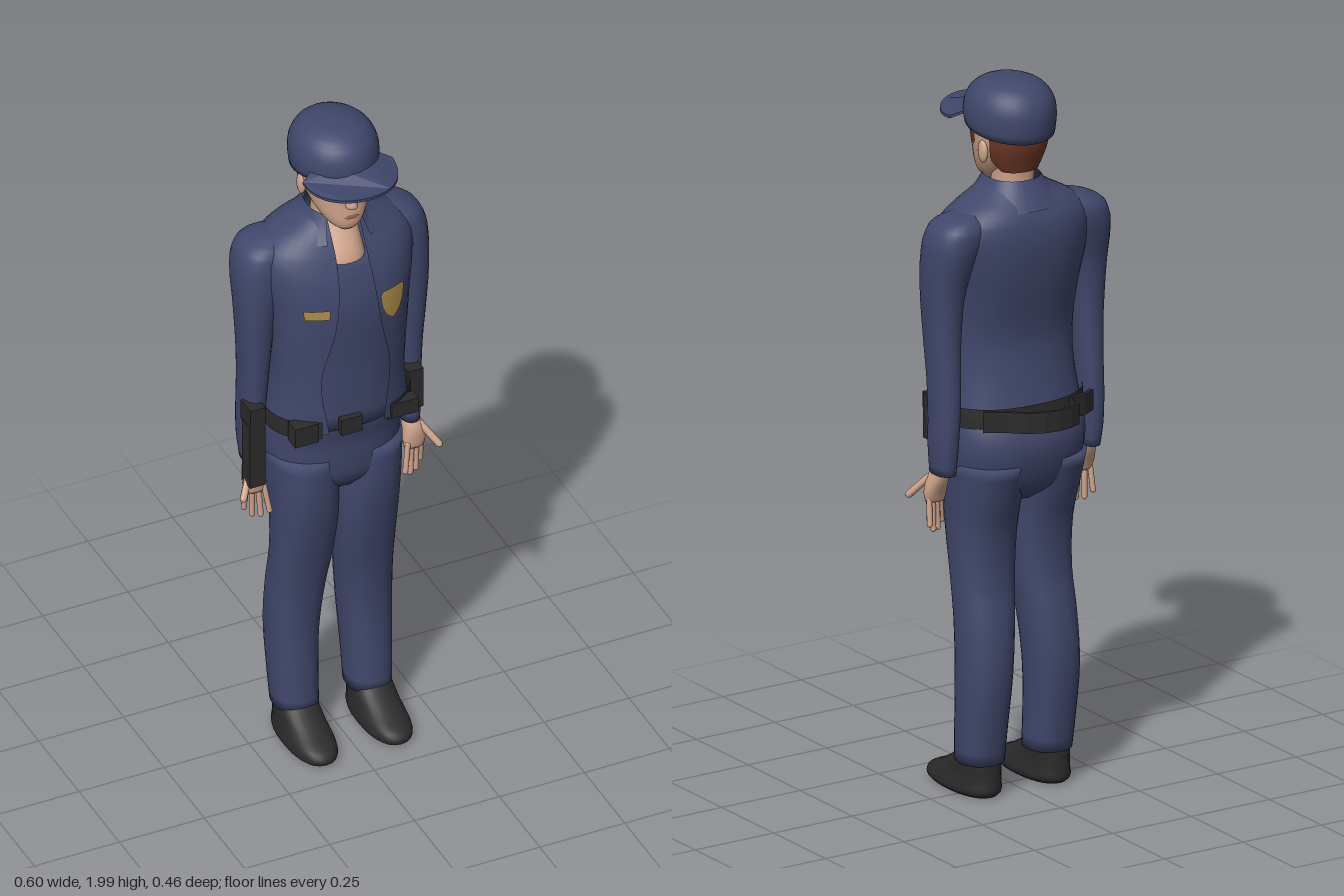
import * as THREE from 'three';

const mat = (name, color, side = THREE.FrontSide) =>
  Object.assign(new THREE.MeshStandardMaterial({ color, side }), { name });

// Cross-sections: [y, centre x, half width, front z, back z], listed upwards
const TORSO = [
  [1.07, 0, .2, .15, -.15], [1.2, 0, .186, .15, -.125], [1.3, 0, .19, .152, -.115], [1.45, 0, .203, .158, -.145],
  [1.55, 0, .22, .14, -.157], [1.62, 0, .215, .11, -.152], [1.66, 0, .17, .088, -.135], [1.69, 0, .115, .072, -.11],
  [1.72, 0, .07, .06, -.088]];
const HEAD = [
  [1.697, 0, .025, .098, .04], [1.712, 0, .044, .108, .005], [1.74, 0, .064, .111, -.035], [1.78, 0, .081, .108, -.08],
  [1.82, 0, .09, .109, -.103], [1.86, 0, .093, .114, -.108], [1.9, 0, .085, .1, -.1]];

const at = (rings) => {
  const curve = new THREE.CubicInterpolant(rings.map((r) => r[0]), rings.flat(), 5, new Float32Array(5));
  return (y) => Array.from(curve.evaluate(y));
};
const grow = (rings, d) => rings.map(([y, x, r, f, b]) => [y, x, r + d, f + d, b - d]);

// Smooth surface through oval sections; gap(y) leaves the front open, span limits the sweep
function loft(rings, { n = 2.3, seg = 28, sub = 3, gap = null, span = null, caps = true } = {}) {
  const f = at(rings), pos = [], idx = [], ys = [];
  rings.forEach((r, i) => {
    if (i) for (let k = 1; k <= sub; k++) ys.push(THREE.MathUtils.lerp(rings[i - 1][0], r[0], k / sub));
    else ys.push(r[0]);
  });
  const open = gap || span, cols = open ? seg + 1 : seg;
  const pw = (v) => Math.sign(v) * Math.abs(v) ** (2 / n);
  for (const y of ys) {
    const [, cx, w, zf, zb] = f(y), rx = Math.max(w, .0005);
    let a = 0, b = Math.PI * 2;
    if (gap) { a = Math.asin(Math.min(1, gap(y) / rx) ** (n / 2)); b -= a; }
    if (span) [a, b] = span;
    for (let j = 0; j < cols; j++) {
      const t = a + (b - a) * j / seg;
      pos.push(cx + rx * pw(Math.sin(t)), y, (zf + zb) / 2 + (zf - zb) / 2 * pw(Math.cos(t)));
    }
  }
  for (let i = 0; i < ys.length - 1; i++) for (let j = 0; j < seg; j++) {
    const k = (j + 1) % cols, a = i * cols + j, b = i * cols + k;
    idx.push(a, b, a + cols, b, b + cols, a + cols);
  }
  if (caps && !open) [0, ys.length - 1].forEach((row) => {
    const [, cx, , zf, zb] = f(ys[row]), c = pos.length / 3;
    pos.push(cx, ys[row], (zf + zb) / 2);
    for (let j = 0; j < seg; j++) {
      const a = row * cols + j, b = row * cols + (j + 1) % cols;
      row ? idx.push(a, b, c) : idx.push(b, a, c);
    }
  });
  return build(pos, idx);
}

function build(pos, idx) {
  const g = new THREE.BufferGeometry();
  g.setAttribute('position', new THREE.Float32BufferAttribute(pos, 3));
  g.setIndex(idx);
  g.computeVertexNormals();
  return g;
}

// Thin patch lying on the front of a lofted body; rows: [y, x0, x1] upwards
function patch(rings, rows, lift = .004, n = 2.3) {
  const f = at(rings), pos = [], idx = [], cols = 7;
  rows.forEach(([y, x0, x1], i) => {
    const [, , rx, zf, zb] = f(y);
    for (let j = 0; j < cols; j++) {
      const x = x0 + (x1 - x0) * j / (cols - 1);
      pos.push(x, y, (zf + zb) / 2 + (zf - zb) / 2 * (1 - Math.min(1, Math.abs(x / rx)) ** n) ** (1 / n) + lift);
      if (i && j) { const d = i * cols + j; idx.push(d - cols - 1, d - cols, d - 1, d - cols, d, d - 1); }
    }
  });
  return build(pos, idx);
}

// Flat outline of [x, z] points raised by a height
function slab(points, height) {
  const shape = new THREE.Shape(points.map(([x, z]) => new THREE.Vector2(x, -z)));
  return new THREE.ExtrudeGeometry(shape, { depth: height, bevelEnabled: false }).rotateX(-Math.PI / 2);
}

export function createModel() {
  const model = new THREE.Group();
  const navy = mat('navy cloth', 0x40476b, THREE.DoubleSide), black = mat('black leather', 0x2b2b2b, THREE.DoubleSide);
  const skin = mat('skin', 0xcfa48c), hair = mat('brown hair', 0x6e3826, THREE.DoubleSide);
  const gold = mat('gold', 0xa98a4a, THREE.DoubleSide), dark = mat('dark eyes', 0x2a201e, THREE.DoubleSide);
  const white = mat('eye white', 0xd8d4d0, THREE.DoubleSide), lip = mat('lips', 0xa06f60, THREE.DoubleSide);
  const add = (name, geo, m) => {
    const mesh = new THREE.Mesh(geo, m);
    mesh.name = name;
    model.add(mesh);
    return mesh;
  };
  const box = (name, w, h, d, x, y, z, m = black) => add(name, new THREE.BoxGeometry(w, h, d), m).position.set(x, y, z);
  const side = (rings, s) => rings.map(([y, x0, x1, f, b]) => [y, s * (x0 + x1) / 2, (x1 - x0) / 2, f, b]);

  // Jacket with open front, shirt beneath, collar
  const gapCurve = new THREE.CubicInterpolant([1.07, 1.25, 1.4, 1.6, 1.73], [.08, .1, .068, .046, .045], 1, new Float32Array(1));
  const gap = (y) => gapCurve.evaluate(y)[0];
  add('jacket', loft(TORSO, { gap, seg: 40 }), navy);
  add('shirt', loft(grow(TORSO.slice(0, 5), -.012).concat([[1.59, 0, .19, .112, -.14]])), navy);
  add('collar', loft([[1.655, 0, .135, .104, -.143], [1.69, 0, .1, .082, -.118], [1.728, 0, .073, .064, -.092]],
    { gap: (y) => .045 + (1.728 - y) * .25 }), navy);

  // Trousers seat
  add('trouserSeat', loft([[.83, 0, .1, .07, -.08], [.87, 0, .17, .1, -.13], [.93, 0, .188, .11, -.158],
    [1, 0, .197, .112, -.17], [1.06, 0, .193, .122, -.155], [1.1, 0, .18, .12, -.13]]), navy);

  for (const s of [1, -1]) {
    const tag = s > 0 ? 'left' : 'right';
    // Legs and shoes
    add(tag + 'Leg', loft(side([[.1, .045, .17, .05, -.09], [.2, .043, .174, .045, -.105], [.35, .035, .178, .04, -.122],
      [.5, .02, .176, .052, -.11], [.6, .008, .175, .07, -.092], [.75, 0, .178, .1, -.1], [.85, 0, .184, .11, -.132],
      [.95, 0, .19, .11, -.162]], s)), navy);
    add(tag + 'Shoe', loft(side([[.008, .055, .165, .175, -.08], [.02, .045, .175, .19, -.092], [.045, .046, .173, .18, -.092],
      [.07, .05, .168, .125, -.09], [.1, .052, .166, .07, -.088], [.125, .058, .158, .035, -.08]], s)), black);

    // Sleeves and hands
    add(tag + 'Sleeve', loft(side([[.93, .203, .257, .018, -.075], [1, .2, .263, .02, -.085], [1.1, .195, .263, .022, -.09],
      [1.2, .19, .264, .03, -.086], [1.3, .185, .269, .04, -.083], [1.45, .17, .278, .05, -.092], [1.55, .14, .28, .05, -.115],
      [1.6, .12, .272, .045, -.12], [1.635, .12, .247, .03, -.11], [1.655, .13, .2, -.005, -.08]], s)), navy);
    add(tag + 'Palm', loft(side([[.845, .205, .262, .018, -.012], [.87, .203, .268, .022, -.022], [.91, .207, .262, .022, -.042],
      [.95, .212, .25, .0, -.055]], s), { seg: 16 }), skin);
    const fingers = [[.212, .86, .012, .2, .78, .022], [.226, .86, .006, .22, .765, .01], [.242, .86, .002, .241, .766, 0],
      [.256, .86, -.002, .26, .785, -.012], [.25, .915, .005, .288, .86, .046]];
    fingers.forEach(([x, y, z, u, v, w], i) => {
      const a = new THREE.Vector3(x * s, y, z), b = new THREE.Vector3(u * s, v, w), d = b.clone().sub(a);
      const f = add(tag + (i < 4 ? 'Finger' : 'Thumb'), new THREE.CapsuleGeometry(i < 4 ? .008 : .01, d.length(), 4, 8), skin);
      f.position.copy(a).lerp(b, .5);
      f.quaternion.setFromUnitVectors(new THREE.Vector3(0, 1, 0), d.normalize());
    });

    // Face details and ears
    const band = (rows) => rows.map(([y, a, b]) => (s > 0 ? [y, a, b] : [y, -b, -a]));
    add(tag + 'EyeWhite', patch(HEAD, band([[1.83, .032, .046], [1.836, .024, .054], [1.842, .03, .05]]), .003), white);
    add(tag + 'Iris', patch(HEAD, band([[1.83, .036, .044], [1.836, .033, .046], [1.842, .035, .045]]), .0045), dark);
    add(tag + 'Brow', patch(HEAD, band([[1.847, .018, .06], [1.854, .02, .056]]), .004), dark);
    const ear = add(tag + 'Ear', new THREE.SphereGeometry(.03, 12, 10), skin);
    ear.scale.set(.35, 1.05, .65);
    ear.position.set(.091 * s, 1.803, -.012);
    add(tag + 'Sideburn', loft(grow([HEAD[3], HEAD[4], HEAD[5]], .003).map((r, i) => [[1.8, 1.835, 1.87][i], ...r.slice(1)]),
      { span: s > 0 ? [1.02, 1.4] : [-1.4, -1.02], seg: 6 }), hair);
  }

  // Head, neck, nose, mouth and hair
  add('head', loft(HEAD), skin);
  add('neck', loft([[1.56, 0, .075, .108, -.08], [1.6, 0, .066, .106, -.08], [1.65, 0, .06, .078, -.08],
    [1.7, 0, .054, .045, -.075], [1.8, 0, .056, .03, -.08]]), skin);
  add('nose', loft([[1.772, 0, .01, .118, .08], [1.781, 0, .017, .129, .08], [1.795, 0, .013, .128, .08],
    [1.845, 0, .008, .114, .08]], { seg: 14 }), skin);
  add('mouth', patch(HEAD, [[1.741, -.012, .012], [1.746, -.024, .024], [1.753, -.012, .012]], .003), lip);
  add('hair', loft([[1.75, 0, .06, .03, -.088], [1.78, 0, .083, .1, -.098], [1.82, 0, .094, .11, -.112], [1.87, 0, .098, .11, -.115]],
    { span: [1.9, Math.PI * 2 - 1.9], seg: 20 }), hair);

  // Cap crown, lower edge rising toward the brim
  const crown = loft([[1.86, 0, .116, .126, -.134], [1.89, 0, .12, .132, -.14], [1.92, 0, .119, .13, -.139], [1.95, 0, .11, .12, -.128],
    [1.975, 0, .09, .097, -.106], [1.99, 0, .062, .067, -.075], [1.997, 0, .034, .036, -.044], [2, 0, .004, .002, -.01]],
    { n: 2, seg: 36, sub: 2 });
  const cp = crown.attributes.position;
  for (let i = 0; i < cp.count; i++) {
    const low = Math.max(0, (1.9 - cp.getY(i)) / .04);
    cp.setY(i, cp.getY(i) + .14 * cp.getZ(i) * low);
  }
  crown.computeVertexNormals();
  add('capCrown', crown, navy);

  // Cap brim, sloping forward and drooping at the sides
  const rim = [];
  for (let i = -12; i <= 12; i++) rim.push([.132 * Math.sin(i * Math.PI / 24), .085 + .145 * Math.cos(i * Math.PI / 24)]);
  for (let i = 8; i >= -8; i--) rim.push([.112 * Math.sin(i / 8), .115 * Math.cos(i / 8)]);
  const brim = slab(rim, .008), bp = brim.attributes.position;
  for (let i = 0; i < bp.count; i++) {
    const x = bp.getX(i), z = bp.getZ(i);
    bp.setY(i, bp.getY(i) + 1.898 - .15 * (z - .11) - 1.5 * x * x);
  }
  brim.computeVertexNormals();
  add('capBrim', brim, navy);

  // Badge and name bar on the chest
  add('badge', patch(TORSO, [[1.407, .102, .11], [1.425, .082, .128], [1.45, .07, .14], [1.475, .066, .144], [1.492, .066, .146],
    [1.5, .074, .138]], .005), gold);
  add('nameBar', patch(TORSO, [[1.458, -.145, -.085], [1.472, -.148, -.082], [1.486, -.148, -.082]], .005), gold);

  // Belt sides, standing loop at the back, and equipment
  add('belt', loft([[1.06, 0, .207, .152, -.152], [1.088, 0, .208, .153, -.15], [1.115, 0, .206, .153, -.148]], { gap: () => .1 }), black);
  const arc = [[-.18, -.135], [-.14, -.156], [-.092, -.166], [-.084, -.212], [-.05, -.225], [-.012, -.23], [.03, -.225], [.075, -.205],
    [.115, -.167], [.17, -.133]];
  const inner = arc.map(([x, z]) => [x * .96, z + .009]).reverse();
  add('beltBack', slab([...arc, ...inner], .058), black).position.y = 1.06;
  box('buckle', .062, .05, .02, -.02, 1.09, .145);
  box('rightPouch', .07, .06, .045, -.145, 1.085, .118);
  box('leftPouch', .09, .045, .035, .14, 1.082, .118);
  box('holster', .045, .2, .05, -.248, .99, .025);
  box('holsterTop', .045, .06, .06, -.247, 1.115, .02);
  box('radio', .046, .125, .05, .215, 1.07, .03);
  return model;
}
